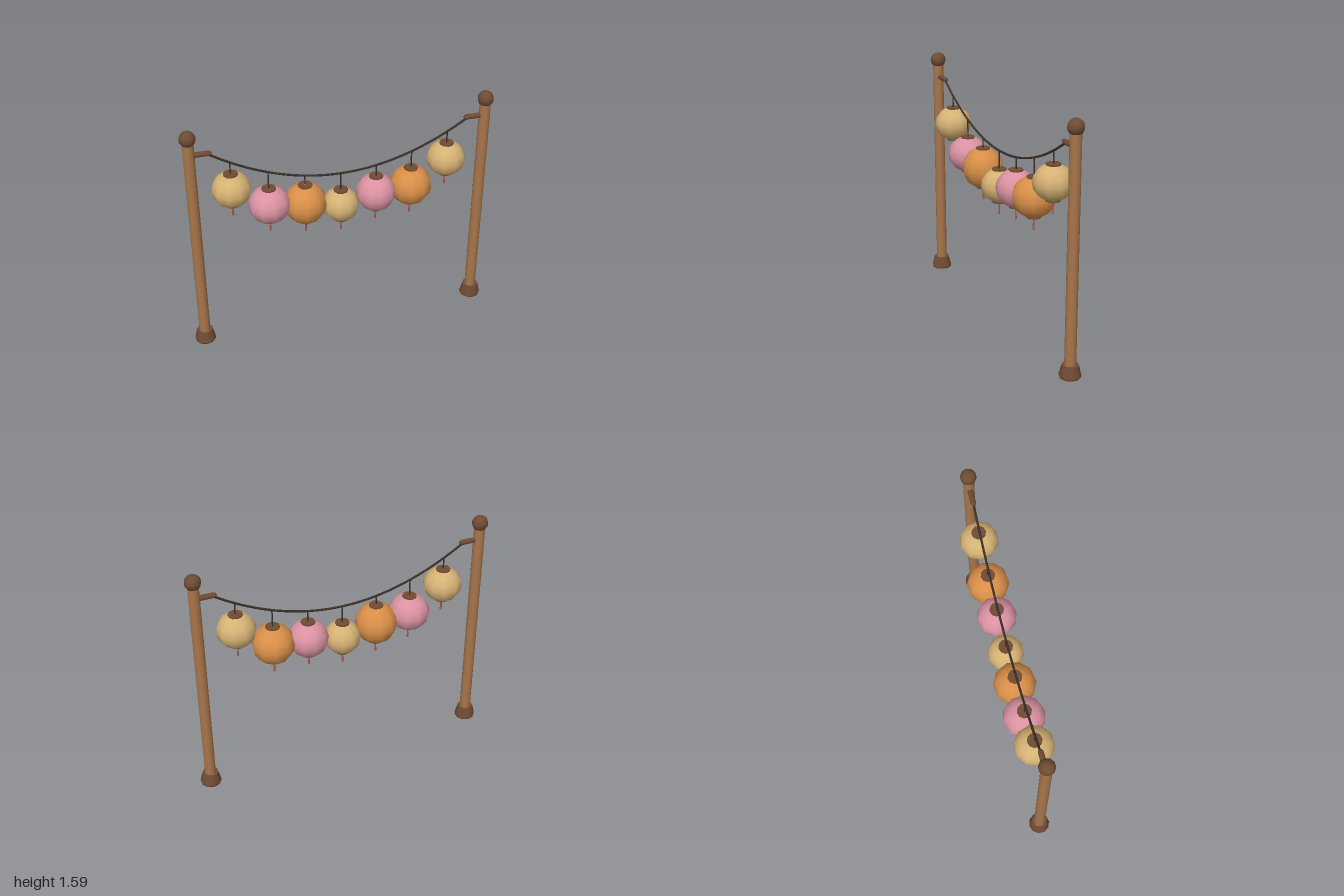
import * as THREE from 'three';

const mat = (name, color) => {
  const m = new THREE.MeshStandardMaterial({ color });
  m.name = name;
  return m;
};

export function createModel() {
  const wood = mat('wood', 0xa8754a);
  const darkWood = mat('darkWood', 0x6f4b33);
  const cord = mat('cord', 0x3a3028);
  const red = mat('tasselRed', 0xb0584a);
  const tan = mat('tanPaper', 0xd6b274);
  const pink = mat('pinkPaper', 0xdb92a2);
  const orange = mat('orangePaper', 0xd98f48);

  const model = new THREE.Group();
  model.name = 'lanternGarland';
  const add = (parent, name, geometry, material, x = 0, y = 0) => {
    const mesh = new THREE.Mesh(geometry, material);
    mesh.name = name;
    mesh.position.set(x, y, 0);
    parent.add(mesh);
    return mesh;
  };

  // Two posts with foot, ball finial and inward peg
  for (const side of [-1, 1]) {
    const post = new THREE.Group();
    post.name = side > 0 ? 'leftPost' : 'rightPost';
    post.position.x = side * 0.93;
    model.add(post);
    add(post, 'pole', new THREE.CylinderGeometry(0.035, 0.036, 1.48, 12), wood, 0, 0.78);
    add(post, 'foot', new THREE.CylinderGeometry(0.052, 0.069, 0.07, 10), darkWood, 0, 0.045);
    add(post, 'footRim', new THREE.CylinderGeometry(0.069, 0.066, 0.01, 10), darkWood, 0, 0.005);
    add(post, 'finial', new THREE.SphereGeometry(0.051, 10, 8), darkWood, 0, 1.54);
    const peg = add(post, 'peg', new THREE.CapsuleGeometry(0.017, 0.11, 2, 8), darkWood, -side * 0.066, 1.425);
    peg.rotation.z = Math.PI / 2;
  }

  // Sagging rope, a parabola between the pegs
  const ropeY = x => 1.145 + 0.275 * (x / 0.82) ** 2;
  const points = [];
  for (let i = 0; i <= 20; i++) {
    const x = -0.82 + 0.082 * i;
    points.push(new THREE.Vector3(x, ropeY(x), 0));
  }
  add(model, 'rope', new THREE.TubeGeometry(new THREE.CatmullRomCurve3(points), 40, 0.007, 6), cord);

  // Lanterns: x, centre y, radius, half height to the caps, paper
  const lanterns = [
    [-0.69, 1.148, 0.125, 0.107, tan],
    [-0.46, 0.995, 0.134, 0.114, pink],
    [-0.23, 0.965, 0.136, 0.130, orange],
    [0, 0.915, 0.117, 0.106, tan],
    [0.23, 0.967, 0.129, 0.117, pink],
    [0.46, 0.984, 0.136, 0.124, orange],
    [0.69, 1.148, 0.125, 0.107, tan],
  ];
  lanterns.forEach(([x, y, r, h, paper], i) => {
    const lantern = new THREE.Group();
    lantern.name = `lantern${i + 1}`;
    lantern.position.set(x, y, 0);
    model.add(lantern);
    const shade = add(lantern, 'shade', new THREE.SphereGeometry(r, 10, 8), paper);
    shade.scale.y = h / (0.94 * r);
    shade.rotation.y = i * 0.4;
    for (const s of [-1, 1]) {
      add(lantern, s > 0 ? 'topCap' : 'bottomCap', new THREE.CylinderGeometry(0.046, 0.046, 0.014, 10), darkWood, 0, s * h);
    }
    const top = ropeY(x) - y;
    add(lantern, 'hanger', new THREE.CylinderGeometry(0.0045, 0.0045, top - h, 6), cord, 0, (top + h) / 2);
    add(lantern, 'tassel', new THREE.CylinderGeometry(0.004, 0.007, 0.084, 6), red, 0, -h - 0.046);
  });

  return model;
}
